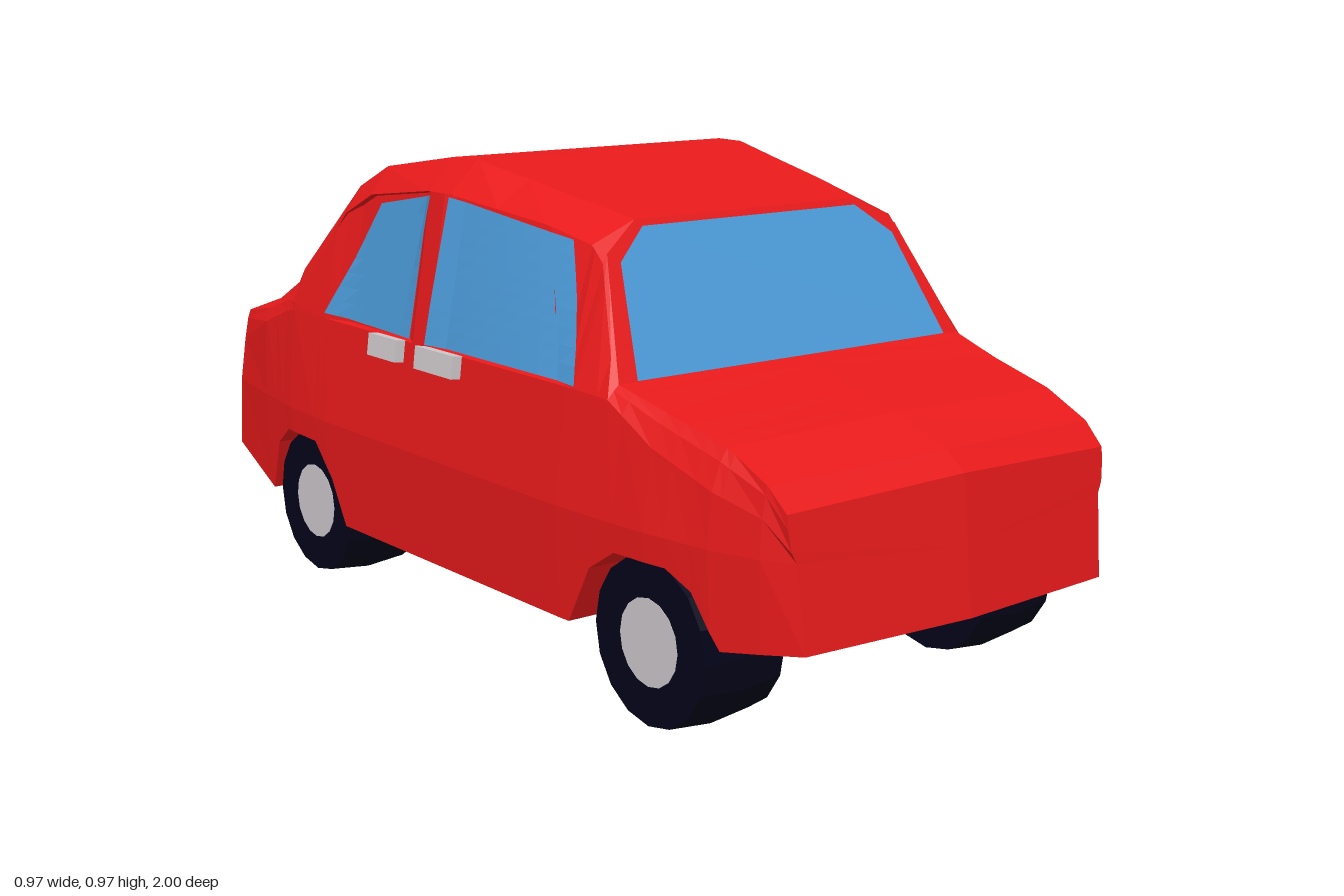
import * as THREE from 'three';

const mat = (name, color, side = THREE.FrontSide) => {
  const m = new THREE.MeshStandardMaterial({ color, side });
  m.name = name;
  return m;
};

const cabin = (z, edgeX, edgeY, topX, topY) => [z, 0.486, 0.46, 0.6, edgeX, edgeY, topX, topY, topY];

// Upper body: z, waist x, belt x, belt y, edge x, edge y, top x, top y, centre y
const UPPER = [
  [0.958, 0.38, 0.39, 0.40, 0.395, 0.44, 0.395, 0.465, 0.48],
  [0.90, 0.415, 0.41, 0.45, 0.403, 0.49, 0.40, 0.507, 0.514],
  [0.80, 0.447, 0.437, 0.48, 0.418, 0.53, 0.403, 0.553, 0.56],
  [0.65, 0.469, 0.45, 0.53, 0.43, 0.57, 0.415, 0.588, 0.593],
  [0.53, 0.479, 0.455, 0.595, 0.441, 0.61, 0.43, 0.62, 0.62],
  cabin(0.41, 0.376, 0.82, 0.366, 0.836),
  cabin(0.38, 0.378, 0.85, 0.28, 0.89),
  cabin(0.25, 0.388, 0.875, 0.305, 0.916),
  cabin(0.1, 0.399, 0.89, 0.323, 0.943),
  cabin(-0.05, 0.41, 0.905, 0.343, 0.97),
  cabin(-0.13, 0.41, 0.905, 0.349, 0.97),
  cabin(-0.35, 0.414, 0.878, 0.373, 0.935),
  cabin(-0.45, 0.42, 0.83, 0.383, 0.885),
  [-0.625, 0.477, 0.46, 0.60, 0.4575, 0.615, 0.43, 0.688, 0.688],
  [-0.67, 0.47, 0.455, 0.59, 0.445, 0.615, 0.42, 0.652, 0.654],
  [-0.78, 0.455, 0.45, 0.55, 0.435, 0.58, 0.41, 0.60, 0.602],
  [-0.98, 0.42, 0.415, 0.48, 0.41, 0.53, 0.405, 0.55, 0.56],
];
// Underside: z, y, stepping up over the wheel arches
const UNDER = [
  [0.958, 0.22], [0.82, 0.20], [0.76, 0.295], [0.70, 0.325], [0.57, 0.325], [0.50, 0.28], [0.435, 0.162],
  [-0.39, 0.158], [-0.44, 0.255], [-0.51, 0.325], [-0.65, 0.325], [-0.72, 0.28], [-0.775, 0.16], [-0.98, 0.22],
];
// Depth of the window recess along the side: z, depth (zero at the pillars)
const RECESS = [
  [0.958, 0], [0.43, 0], [0.37, 0.012], [-0.045, 0.012], [-0.07, 0],
  [-0.125, 0], [-0.15, 0.012], [-0.40, 0.012], [-0.48, 0], [-0.98, 0],
];

// Linear lookup in a table sorted by falling z
function sample(table, z) {
  let i = 0;
  while (i < table.length - 2 && z < table[i + 1][0]) i++;
  const a = table[i], b = table[i + 1], t = (a[0] - z) / (a[0] - b[0]);
  return a.map((v, k) => v + (b[k] - v) * t);
}

// Half section from bottom centre, up the left side, to top centre
function section(z) {
  const [, w, bx, by, ex, ey, tx, ty, cy] = sample(UPPER, z);
  const yb = sample(UNDER, z)[1], r = sample(RECESS, z)[1];
  const slope = z > 0.95 ? -0.11 : z < -0.97 ? 0.17 : 0;
  const bulge = z > 0.85 ? 0.025 : 0;
  return [
    [0, yb], [w - 0.04 * (0.4 - yb), yb], [w, 0.38],
    [bx, by], [bx - r, by + 0.3 * r], [ex - r, ey - 0.3 * r], [ex, ey],
    [tx, ty], [0, cy],
  ].map(([x, y]) => [x, y, z + slope * (y - 0.35) + (x === 0 ? bulge : 0)]);
}

// Half width of the recessed cabin side at a given height and z
function cabinX(y, z) {
  const pts = section(z), [x0, y0] = pts[4], [x1, y1] = pts[5];
  return x0 + (x1 - x0) * (y - y0) / (y1 - y0);
}

// Triangles with hard edges
function flatGeometry(tris) {
  const g = new THREE.BufferGeometry();
  g.setAttribute('position', new THREE.Float32BufferAttribute(tris.flat(2), 3));
  g.computeVertexNormals();
  return g;
}

function bodyGeometry() {
  const zs = [...new Set([...UPPER, ...UNDER, ...RECESS].map(r => r[0]))].sort((a, b) => b - a);
  const rows = zs.map(section), tris = [];
  const flip = ([x, y, z]) => [-x, y, z];
  const add = (a, b, c) => tris.push([a, b, c], [flip(a), flip(c), flip(b)]);
  const first = rows[0], last = rows[rows.length - 1];
  for (let j = 0; j < first.length - 1; j++) {
    for (let i = 0; i < rows.length - 1; i++) {
      const a = rows[i][j], b = rows[i][j + 1], c = rows[i + 1][j + 1], d = rows[i + 1][j];
      add(a, d, c);
      add(a, c, b);
    }
    // Nose and tail panels
    add([0, 0.35, 0.983], first[j], first[j + 1]);
    add([0, 0.35, -0.98], last[j + 1], last[j]);
  }
  return flatGeometry(tris);
}

// Thin flat pane from an outline of 3D points
const pane = pts => flatGeometry(pts.slice(2).map((p, i) => [pts[0], pts[i + 1], p]));

// Side pane following the curved cabin side; corners are z, y
function sidePane([a, b, c, d], s) {
  const n = 8, tris = [];
  const mix = (p, q, t) => p.map((v, k) => v + (q[k] - v) * t);
  const at = (i, j) => {
    const [z, y] = mix(mix(a, d, i / n), mix(b, c, i / n), j / n);
    return [s * (cabinX(y, z) + 0.004), y, z];
  };
  for (let i = 0; i < n; i++) {
    for (let j = 0; j < n; j++) {
      const quad = [at(i, j), at(i + 1, j), at(i + 1, j + 1), at(i, j + 1)];
      if (s < 0) quad.reverse();
      tris.push([quad[0], quad[1], quad[2]], [quad[0], quad[2], quad[3]]);
    }
  }
  return flatGeometry(tris);
}

export function createModel() {
  const car = new THREE.Group();
  car.name = 'car';
  const red = mat('red paint', 0xe81a1b);
  const blue = mat('blue glass', 0x4b99d6, THREE.DoubleSide);
  const dark = mat('dark rubber', 0x03031a);
  const grey = mat('pale metal', 0xcec8cb);
  const add = (name, geo, material, parent = car) => {
    const m = new THREE.Mesh(geo, material);
    m.name = name;
    parent.add(m);
    return m;
  };

  add('body', bodyGeometry(), red);

  // Windscreen and rear window, each lying on its sloping panel
  const mirrored = half => [...half, ...half.slice().reverse().map(([x, y]) => [-x, y])];
  const screenZ = y => 0.53 - (y - 0.62) * 0.15 / 0.27 + 0.005;
  add('windscreen', pane(mirrored([[0.39, 0.622], [0.345, 0.82], [0.27, 0.878]])
    .map(([x, y]) => [x, y, screenZ(y)])), blue);
  const rearZ = y => -0.625 + (y - 0.688) * 0.175 / 0.197 - 0.006;
  add('rearWindow', pane(mirrored([[0.355, 0.874], [0.38, 0.84], [0.402, 0.693]]).reverse()
    .map(([x, y]) => [x, y, rearZ(y)])), blue);

  // Side windows and door handles
  const windows = {
    frontSideWindow: [[0.435, 0.604], [0.32, 0.853], [-0.058, 0.899], [-0.075, 0.604]],
    rearSideWindow: [[-0.15, 0.604], [-0.118, 0.898], [-0.32, 0.862], [-0.485, 0.612]],
  };
  for (const s of [1, -1]) {
    const side = s > 0 ? 'left' : 'right';
    for (const [name, corners] of Object.entries(windows)) {
      add(`${side} ${name}`, sidePane(corners, s), blue);
    }
    for (const [name, z, length] of [['frontDoorHandle', -0.01, 0.14], ['rearDoorHandle', -0.208, 0.11]]) {
      const h = add(`${side} ${name}`, new THREE.BoxGeometry(0.03, 0.046, length), grey);
      h.position.set(s * 0.469, 0.579, z);
      h.rotation.z = s * 0.12;
    }
  }

  // Wheels: barrel tyre with a hub plate on both faces
  const profile = [[0, -0.0925], [0.158, -0.0925], [0.167, 0], [0.158, 0.0925], [0, 0.0925]]
    .map(([r, h]) => new THREE.Vector2(r, h));
  const tyre = new THREE.LatheGeometry(profile, 16).toNonIndexed();
  tyre.computeVertexNormals();
  const hub = new THREE.CylinderGeometry(0.083, 0.083, 0.187, 16);
  for (const [end, z] of [['front', 0.637], ['rear', -0.58]]) {
    for (const s of [1, -1]) {
      const wheel = new THREE.Group();
      wheel.name = `${end} ${s > 0 ? 'left' : 'right'} wheel`;
      add('tyre', tyre, dark, wheel);
      add('hub', hub, grey, wheel);
      wheel.rotation.z = Math.PI / 2;
      wheel.position.set(s * 0.3525, 0.169, z);
      car.add(wheel);
    }
  }
  return car;
}
